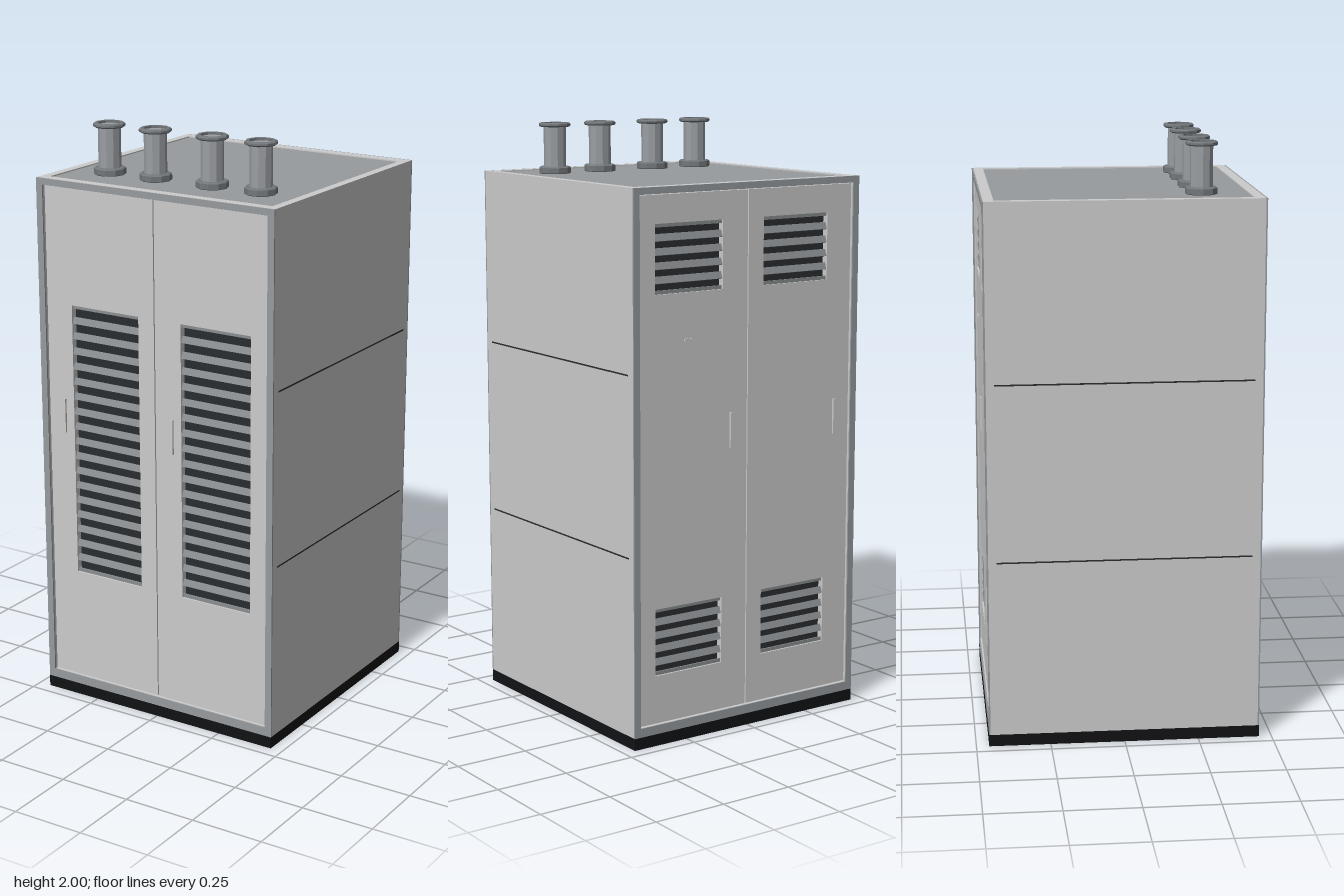
import * as THREE from 'three';

const mat = (color, extra = {}) => new THREE.MeshStandardMaterial({ color, ...extra });
const grey = mat(0xcccccc);
const frameGrey = mat(0x979b9e);
const slatGrey = mat(0x8a8e90);
const dark = mat(0x2a2d31);
const black = mat(0x111214);
const pipeGrey = mat(0x9a9ea2, { flatShading: true });
const flangeGrey = mat(0x74787b, { flatShading: true });

const HALF = 0.457, TOP = 1.832, BASE = 0.04;

function add(parent, name, geometry, material, x = 0, y = 0, z = 0) {
  const mesh = new THREE.Mesh(geometry, material);
  mesh.name = name;
  mesh.position.set(x, y, z);
  parent.add(mesh);
  return mesh;
}

const box = (w, h, d) => new THREE.BoxGeometry(w, h, d);

function trace(path, [x0, x1, y0, y1]) {
  path.moveTo(x0, y0);
  path.lineTo(x1, y0);
  path.lineTo(x1, y1);
  path.lineTo(x0, y1);
  path.closePath();
  return path;
}

// Flat plate from a rectangle with rectangular holes, extruded along z
function plate(outer, holes, depth) {
  const shape = trace(new THREE.Shape(), outer);
  for (const h of holes) shape.holes.push(trace(new THREE.Path(), h));
  return new THREE.ExtrudeGeometry(shape, { depth, bevelEnabled: false });
}

// Louvre: evenly spaced tilted slats inside an opening
function addLouvre(parent, [x0, x1, y0, y1], count, s) {
  const louvre = new THREE.Group();
  louvre.name = 'louvre';
  const pitch = (y1 - y0) / count;
  for (let i = 0; i <= count; i++) {
    const end = i === 0 || i === count;
    const y = THREE.MathUtils.clamp(y0 + i * pitch, y0 + 0.006, y1 - 0.006);
    const slat = add(louvre, 'slat', box(x1 - x0, end ? 0.012 : 0.024, 0.005),
      slatGrey, (x0 + x1) / 2, y, s * 0.438);
    if (!end) slat.rotation.x = -s * 0.35;
  }
  parent.add(louvre);
}

// One face of the cabinet: frame, two doors, louvres and handles (s = 1 front, -1 back)
function addFace(parent, name, s, ventRows) {
  const face = new THREE.Group();
  face.name = name;
  const zOf = (near, far) => (s > 0 ? near : -far);
  add(face, 'doorFrame',
    plate([-HALF, HALF, BASE, TOP], [[-0.433, 0.433, 0.07, 1.81]], 0.005),
    frameGrey, 0, 0, zOf(0.452, 0.457));

  const doors = [
    { span: [-0.43, -0.002], vent: [-0.33, -0.063], handle: -0.368 },
    { span: [0.002, 0.43], vent: [0.102, 0.368], handle: 0.066 },
  ];
  for (const { span, vent, handle } of doors) {
    const openings = ventRows.map(r => [...vent, r.y0, r.y1]);
    add(face, 'door', plate([...span, 0.073, 1.807], openings, 0.022),
      grey, 0, 0, zOf(0.425, 0.447));
    ventRows.forEach((r, i) => addLouvre(face, openings[i], r.count, s));
    add(face, 'handle', box(0.012, 0.12, 0.008), grey, handle, 1.022, s * 0.45);
  }
  parent.add(face);
  return face;
}

// Pipe stub with a foot flange and a lip, ten-sided
function addPipe(parent, x, z) {
  const pipe = new THREE.Group();
  pipe.name = 'pipe';
  pipe.position.set(x, 0, z);
  const lathe = pts => new THREE.LatheGeometry(
    pts.map(p => new THREE.Vector2(...p)), 10, Math.PI / 2);
  const ring = (y0, y1) => lathe([
    [0.036, y0], [0.05, y0], [0.054, y0 + 0.004], [0.054, y1 - 0.004],
    [0.05, y1], [0.038, y1], [0.038, y0]]);
  add(pipe, 'pipeBody', lathe([[0.038, 1.824], [0.038, 1.992], [0, 1.992]]), pipeGrey);
  add(pipe, 'footFlange', ring(1.826, 1.852), flangeGrey);
  add(pipe, 'topFlange', ring(1.986, 2), flangeGrey);
  parent.add(pipe);
}

export function createModel() {
  const model = new THREE.Group();
  model.name = 'ventilatedCabinet';

  // Plinth, outer shell and dark interior
  add(model, 'plinth', box(2 * HALF, BASE, 2 * HALF), black, 0, BASE / 2, 0);
  add(model, 'shell',
    plate([-HALF, HALF, BASE, 1.826], [[-0.433, 0.433, 0.07, 1.81]], 0.904),
    grey, 0, 0, -0.452);
  add(model, 'interior', box(0.866, 1.74, 0.85), dark, 0, 0.94, 0);

  // Raised rim around the darker roof panel
  const rim = add(model, 'roofRim',
    plate([-HALF, HALF, -0.452, 0.452], [[-0.427, 0.427, -0.418, 0.418]], 0.006),
    grey, 0, 1.826, 0);
  rim.rotation.x = -Math.PI / 2;
  add(model, 'roofPanel', box(0.854, 0.004, 0.836), frameGrey, 0, 1.826, 0);

  // Doors on both faces
  addFace(model, 'frontFace', 1, [{ y0: 0.46, y1: 1.412, count: 18 }]);
  const back = addFace(model, 'backFace', -1, [
    { y0: 0.235, y1: 0.46, count: 5 },
    { y0: 1.49, y1: 1.715, count: 5 },
  ]);
  add(back, 'smallPlate', box(0.04, 0.008, 0.006), grey, 0.236, 1.337, -0.449);

  // Panel seams on both sides
  for (const s of [-1, 1])
    for (const y of [0.64, 1.238])
      add(model, 'sideSeam', box(0.002, 0.005, 0.85), dark, s * HALF, y, 0);

  // Row of pipe stubs on the roof
  for (const x of [-0.295, -0.112, 0.108, 0.291]) addPipe(model, x, 0.264);

  return model;
}
